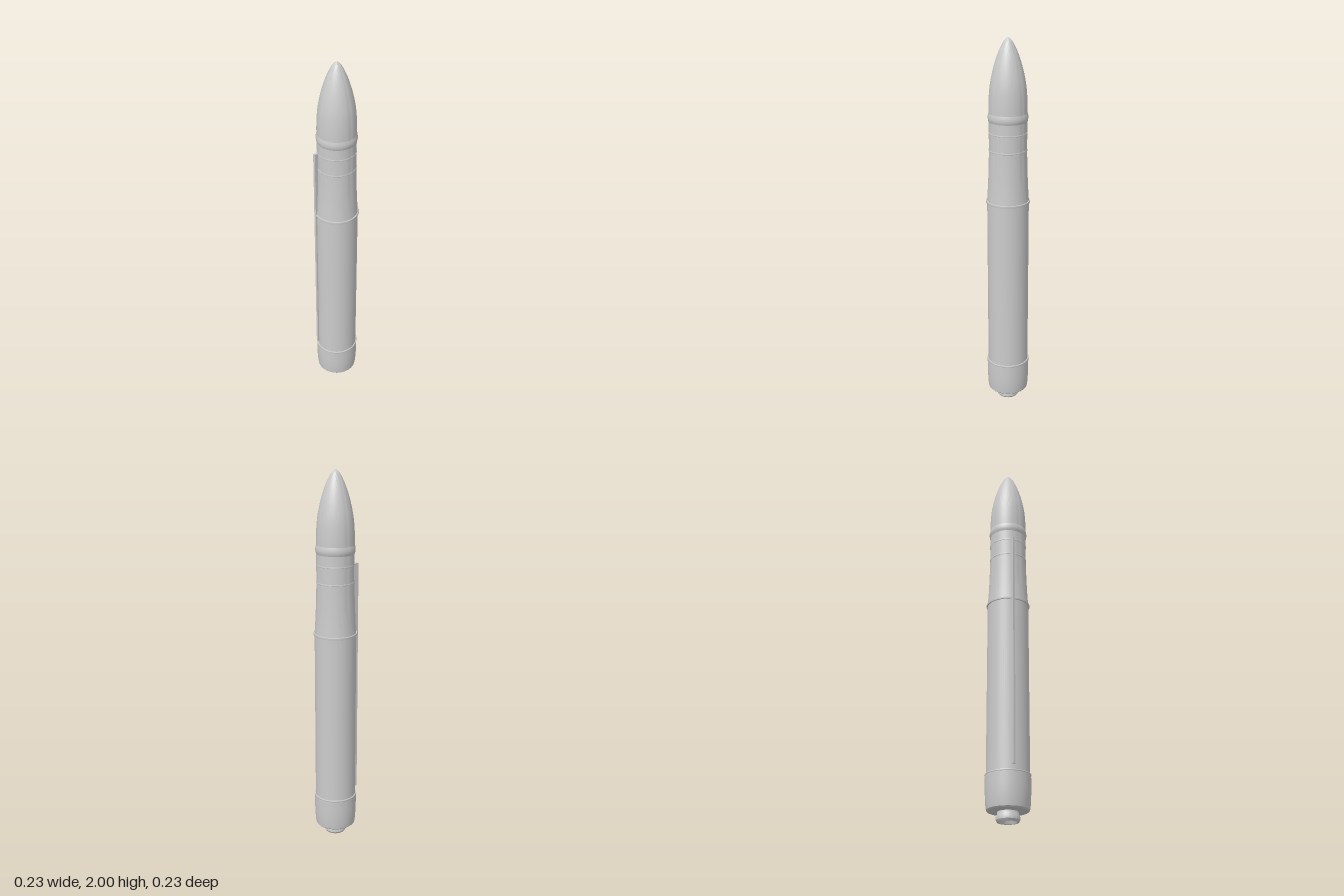
import * as THREE from 'three';
import { toCreasedNormals } from 'three/addons/utils/BufferGeometryUtils.js';

const grey = new THREE.MeshStandardMaterial({ color: 0xcccccc, side: THREE.DoubleSide });

export function createModel() {
  const model = new THREE.Group();
  const add = (name, geometry) => {
    const mesh = new THREE.Mesh(geometry, grey);
    mesh.name = name;
    model.add(mesh);
    return mesh;
  };
  // Turned part from [radius, height] pairs, listed from bottom to top
  const turned = (name, profile) => add(name, toCreasedNormals(
    new THREE.LatheGeometry(profile.map(([r, y]) => new THREE.Vector2(r, y)), 64), 0.5));
  // Raised joint band
  const band = (name, r, y, h) => turned(name, [
    [r - 0.008, y - h / 2], [r - 0.001, y - h / 2], [r, y - h / 4],
    [r, y + h / 4], [r - 0.001, y + h / 2], [r - 0.008, y + h / 2]]);

  // Engine nozzle, hollow from below
  turned('nozzle', [[0, 0.045], [0.034, 0.04], [0.043, 0.008], [0.046, 0], [0.053, 0],
    [0.059, 0.01], [0.059, 0.026], [0.054, 0.036], [0.052, 0.054]]);

  // Aft skirt with rounded lower edge
  turned('aftSkirt', [[0, 0.05], [0.09, 0.05], [0.101, 0.052], [0.107, 0.058],
    [0.11, 0.08], [0.113, 0.13], [0.114, 0.17], [0.114, 0.226], [0.108, 0.232]]);
  band('aftBand', 0.115, 0.23, 0.008);

  // First stage and tapered interstage
  turned('firstStage', [[0.109, 0.228], [0.109, 1.16]]);
  band('firstStageBand', 0.115, 1.157, 0.012);
  turned('interstage', [[0.109, 1.16], [0.107, 1.19], [0.104, 1.24], [0.101, 1.31],
    [0.099, 1.38], [0.098, 1.43]]);
  band('interstageBand', 0.1, 1.433, 0.008);

  // Upper stage
  turned('upperStage', [[0.098, 1.43], [0.098, 1.585]]);
  band('upperStageBand', 0.1, 1.523, 0.008);

  // Nose fairing: flared foot, then an ogive
  turned('fairingFoot', [[0.097, 1.578], [0.101, 1.587], [0.103, 1.6], [0.102, 1.613], [0.099, 1.625]]);
  const ogive = new THREE.SplineCurve([[0.099, 1.62], [0.098, 1.68], [0.093, 1.75], [0.083, 1.81],
    [0.068, 1.87], [0.047, 1.93], [0.022, 1.98], [0, 2]].map(([r, y]) => new THREE.Vector2(r, y)));
  turned('noseFairing', ogive.getPoints(32).map(p => [Math.max(p.x, 0), p.y]));

  // Cable conduit along the front right of the body
  const conduit = add('cableConduit', new THREE.BoxGeometry(0.012, 1.265, 0.024));
  conduit.position.set(-0.045, 0.8925, 0.098);

  return model;
}
